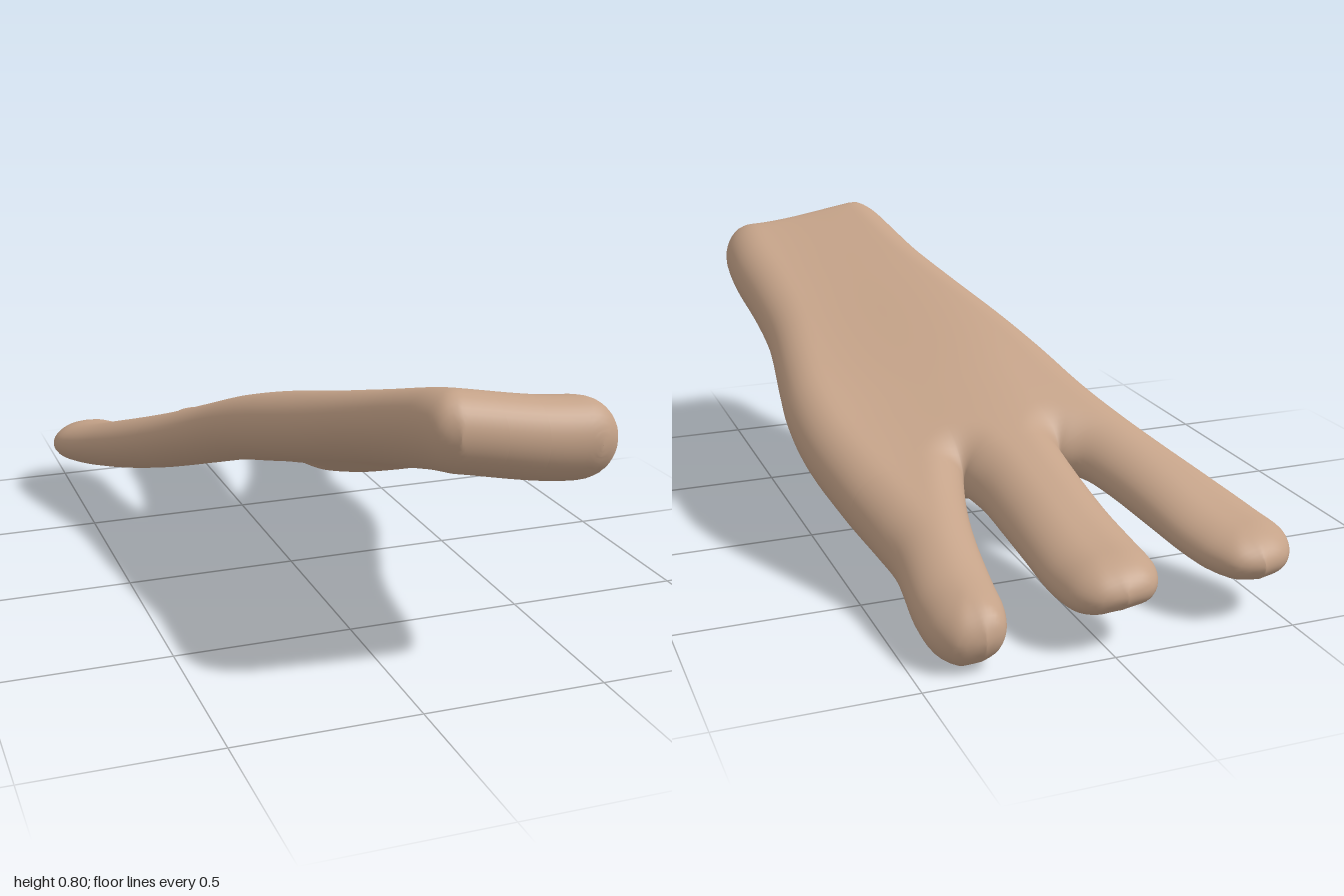
import * as THREE from 'three';
import { mergeVertices } from 'three/addons/utils/BufferGeometryUtils.js';

const CROTCH = -0.39; // z where the fingers join the palm
const WRIST = 1;      // z of the cut end
const ROUND = 0.11;   // radius of the rounded rim

// Smooth outline through [x, z] points, as a dense polyline
function edge(points) {
  const curve = new THREE.CatmullRomCurve3(points.map(([x, z]) => new THREE.Vector3(x, 0, z)), false, 'centripetal');
  return curve.getPoints(points.length * 6).map((p) => [p.x, p.z]);
}

// x of a polyline at a given z (polylines run from fingertip to wrist)
function xAt(line, z) {
  for (let i = 1; i < line.length; i++) {
    const [x0, z0] = line[i - 1], [x1, z1] = line[i];
    if (z <= z1 && z1 > z0) return x0 + (x1 - x0) * Math.max(0, (z - z0) / (z1 - z0));
  }
  return line[line.length - 1][0];
}

// Smooth value along z from [z, value] pairs
function along(pairs) {
  const line = edge(pairs.map(([z, v]) => [v, z]));
  return (z) => xAt(line, z);
}

// Finger and palm edges
const outerRight = edge([[-0.43, -0.97], [-0.51, -0.94], [-0.56, -0.85], [-0.54, -0.75], [-0.48, -0.6], [-0.39, -0.4],
  [-0.3, -0.2], [-0.235, 0], [-0.18, 0.2], [-0.12, 0.4], [-0.06, 0.6], [-0.02, 0.8], [0, 0.91], [0.025, 0.97], [0.075, WRIST]]);
const innerRight = edge([[-0.43, -0.97], [-0.355, -0.945], [-0.31, -0.88], [-0.285, -0.8], [-0.245, -0.64], [-0.2, -0.5], [-0.162, -0.425], [-0.115, CROTCH]]);
const middleRight = edge([[-0.03, -1], [-0.11, -0.98], [-0.152, -0.91], [-0.155, -0.8], [-0.135, -0.65], [-0.122, -0.5], [-0.115, CROTCH]]);
const middleLeft = edge([[-0.03, -1], [0.045, -0.985], [0.09, -0.94], [0.11, -0.85], [0.12, -0.7], [0.135, -0.55], [0.148, -0.46], [0.17, CROTCH]]);
const innerLeft = edge([[0.33, -0.98], [0.28, -0.965], [0.25, -0.9], [0.235, -0.78], [0.22, -0.62], [0.2, -0.5], [0.17, CROTCH]]);
const outerLeft = edge([[0.33, -0.98], [0.4, -0.96], [0.44, -0.9], [0.45, -0.8], [0.44, -0.6], [0.46, -0.5], [0.51, -0.32], [0.55, -0.15],
  [0.56, 0], [0.545, 0.15], [0.515, 0.4], [0.52, 0.6], [0.535, 0.8], [0.525, 0.93], [0.5, 0.98], [0.45, WRIST]]);
const outline = [outerRight, innerRight, middleRight, middleLeft, innerLeft, outerLeft, [[0.075, WRIST], [0.45, WRIST]]];

function distanceToOutline(x, z) {
  let best = Infinity;
  for (const line of outline) {
    for (let i = 1; i < line.length; i++) {
      const [ax, az] = line[i - 1], dx = line[i][0] - ax, dz = line[i][1] - az;
      const t = THREE.MathUtils.clamp(((x - ax) * dx + (z - az) * dz) / (dx * dx + dz * dz || 1), 0, 1);
      best = Math.min(best, Math.hypot(x - ax - t * dx, z - az - t * dz));
    }
  }
  return best < 1e-6 ? 0 : best;
}

// Along the hand: height of the middle surface, half the thickness, drop and thickening towards the left side
const midHeight = along([[-1, 0.162], [-0.8, 0.18], [-0.6, 0.232], [-0.4, 0.297], [-0.2, 0.374], [0, 0.45], [0.4, 0.567], [0.6, 0.628], [0.9, 0.712], [1, 0.722]]);
const halfThickness = along([[-1, 0.066], [-0.8, 0.068], [-0.6, 0.082], [-0.4, 0.09], [0, 0.099], [0.6, 0.1], [0.9, 0.107], [1, 0.107]]);
const leftDrop = along([[-1, 0.083], [-0.6, 0.083], [0, 0.08], [1, 0.07]]);
const leftThickening = along([[-1, 0.028], [-0.7, 0.024], [-0.3, 0.015], [0.3, 0.008], [1, 0.004]]);

function heightAt(x, z, side) {
  const lean = THREE.MathUtils.smoothstep(x, -0.08, 0.46);
  const inset = 1 - Math.min(distanceToOutline(x, z) / ROUND, 1);
  const thick = (halfThickness(z) + leftThickening(z) * lean) * Math.sqrt(1 - inset * inset);
  return midHeight(z) - leftDrop(z) * lean + side * thick;
}

// Values from a to b, crowded at both ends
const spread = (a, b, n) => Array.from({ length: n + 1 }, (_, i) => a + (b - a) * (0.5 - 0.5 * Math.cos(Math.PI * i / n)));

export function createModel() {
  const positions = [], indices = [];
  const seam = (line, x) => [...line, [x, WRIST]];
  const seamRight = 0.2, seamLeft = 0.31;

  // Three lengthwise strips, one per finger, each running on into the palm
  const strips = [
    [outerRight, seam(innerRight, seamRight)],
    [seam(middleRight, seamRight), seam(middleLeft, seamLeft)],
    [seam(innerLeft, seamLeft), outerLeft],
  ];
  const columns = 20;
  for (const [from, to] of strips) {
    const rows = [...spread(from[0][1], CROTCH, 36), ...spread(CROTCH, WRIST, 56).slice(1)];
    for (const side of [1, -1]) {
      const start = positions.length / 3;
      rows.forEach((z, i) => {
        const a = xAt(from, z), b = xAt(to, z);
        spread(a, b, columns).forEach((x, j) => {
          positions.push(x, heightAt(x, z, side), z);
          if (i === 0 || j === 0) return;
          const d = start + i * (columns + 1) + j, c = d - 1;
          const q = d - columns - 1, p = q - 1;
          if (side > 0) indices.push(p, c, q, q, c, d);
          else indices.push(p, q, c, q, d, c);
        });
      });
    }
  }

  let geometry = new THREE.BufferGeometry();
  geometry.setAttribute('position', new THREE.Float32BufferAttribute(positions, 3));
  geometry.setIndex(indices);
  geometry = mergeVertices(geometry, 1e-4);
  geometry.computeBoundingBox();
  geometry.translate(0, -geometry.boundingBox.min.y, 0);
  geometry.computeVertexNormals();

  const skin = new THREE.MeshStandardMaterial({ color: 0xc4a288 });
  skin.name = 'skin';
  const hand = new THREE.Mesh(geometry, skin);
  hand.name = 'hand';
  const group = new THREE.Group();
  group.name = 'threeFingeredHand';
  group.add(hand);
  return group;
}
